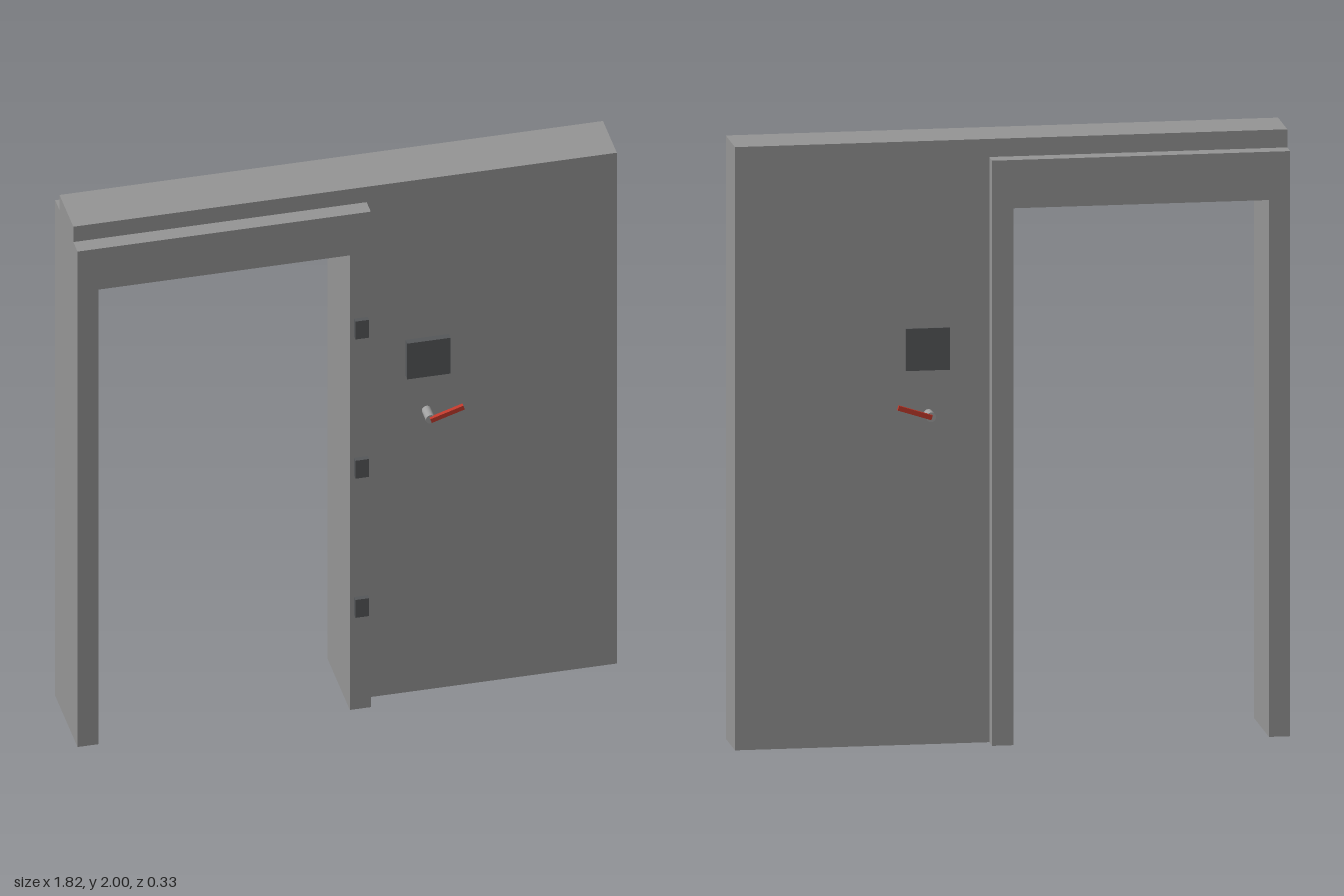
import * as THREE from 'three';

const mat = (name, color) => Object.assign(new THREE.MeshStandardMaterial({ color }), { name });

export function createModel() {
  const grey = mat('wallGrey', 0x969696);
  const dark = mat('darkMetal', 0x56585a);
  const steel = mat('steel', 0xa0a0a0);
  const red = mat('leverRed', 0xc0392b);

  const model = new THREE.Group();
  model.name = 'slidingDoorAssembly';

  // Box given by its minimum and maximum corners
  const box = (name, material, [x0, y0, z0], [x1, y1, z1]) => {
    const mesh = new THREE.Mesh(new THREE.BoxGeometry(x1 - x0, y1 - y0, z1 - z0), material);
    mesh.position.set((x0 + x1) / 2, (y0 + y1) / 2, (z0 + z1) / 2);
    mesh.name = name;
    model.add(mesh);
    return mesh;
  };

  // Solid outline pushed from z0 to z1
  const slab = (name, points, z0, z1) => {
    const shape = new THREE.Shape(points.map(([x, y]) => new THREE.Vector2(x, y)));
    const geometry = new THREE.ExtrudeGeometry(shape, { depth: z1 - z0, bevelEnabled: false });
    const mesh = new THREE.Mesh(geometry, grey);
    mesh.position.z = z0;
    mesh.name = name;
    model.add(mesh);
  };

  // Upside-down U frame around the doorway
  slab('doorFrame', [
    [-0.91, 0], [-0.84, 0], [-0.84, 1.78], [0, 1.78],
    [0, 0], [0.07, 0], [0.07, 1.94], [-0.91, 1.94],
  ], -0.16, 0.147);

  // Wall pocket beside the doorway and the track casing above it
  slab('wallPocket', [
    [0.07, 0], [0.906, 0], [0.906, 2], [-0.91, 2], [-0.91, 1.94], [0.07, 1.94],
  ], -0.1, 0.09);

  // Hinge plates on the front of the inner post
  for (const y of [0.37, 0.915, 1.46]) {
    box('hingePlate', dark, [0.014, y, 0.147], [0.06, y + 0.07, 0.165]);
  }

  // Control panels on both faces
  box('frontControlPanel', dark, [0.2, 1.24, 0.09], [0.345, 1.38, 0.113]);
  box('backControlPanel', dark, [0.2, 1.24, -0.105], [0.345, 1.38, -0.1]);

  // Handles: round spindle and a tilted lever, on both faces
  for (const [side, z0, z1] of [['front', 0.09, 0.147], ['back', -0.1, -0.156]]) {
    const handle = new THREE.Group();
    handle.name = side + 'Handle';
    handle.position.set(0.27, 1.095, 0);
    const spindle = new THREE.Mesh(
      new THREE.CylinderGeometry(0.016, 0.016, Math.abs(z1 - z0), 20), steel);
    spindle.rotation.x = Math.PI / 2;
    spindle.position.z = (z0 + z1) / 2;
    spindle.name = 'spindle';
    const lever = new THREE.Mesh(new THREE.BoxGeometry(0.116, 0.016, 0.014), red);
    lever.position.set(0.054, 0.018, z1 + Math.sign(z1) * 0.004);
    lever.rotation.z = 0.31;
    lever.name = 'lever';
    handle.add(spindle, lever);
    model.add(handle);
  }

  return model;
}
